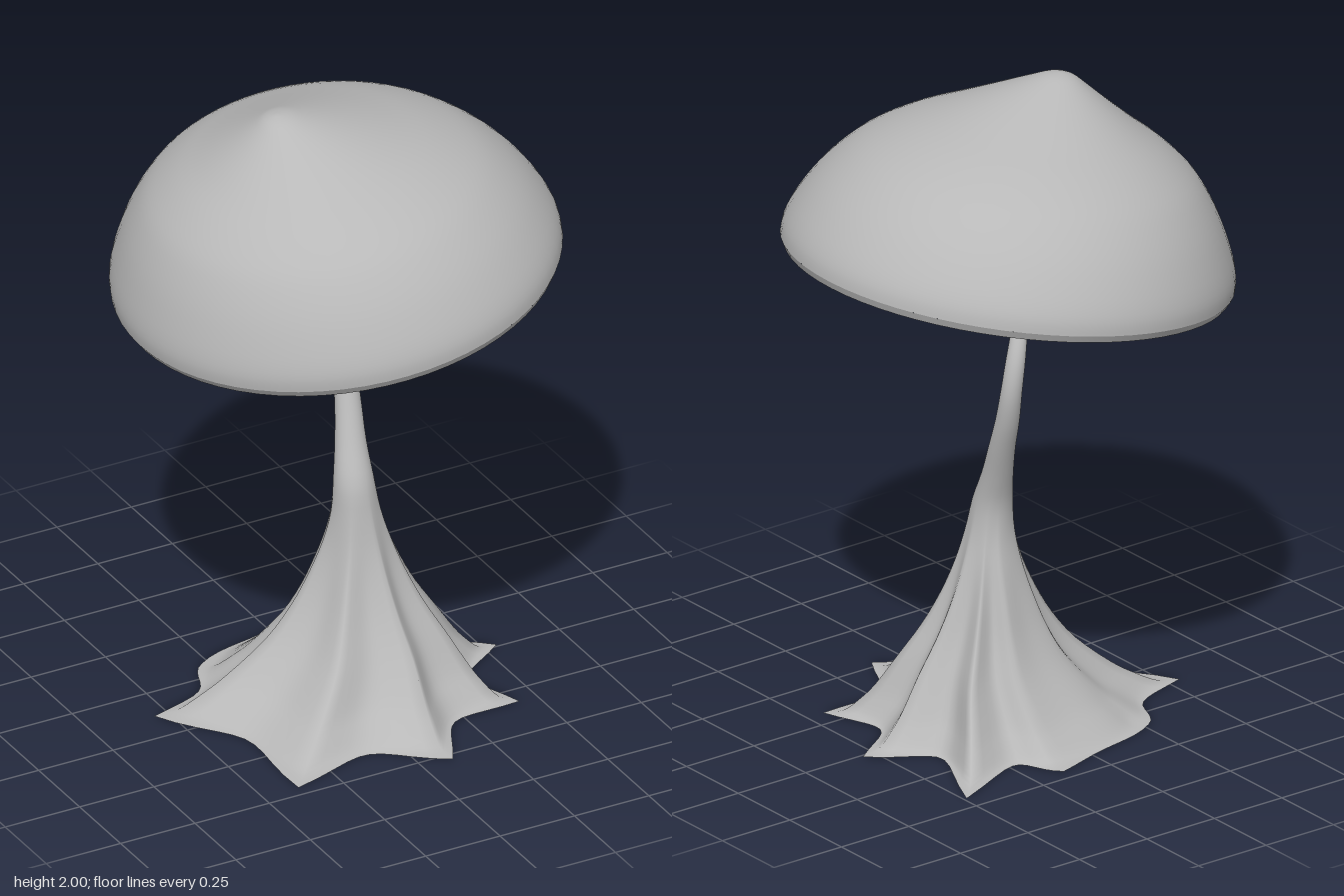
import * as THREE from 'three';
import { mergeVertices } from 'three/addons/utils/BufferGeometryUtils.js';

const grey = new THREE.MeshStandardMaterial({ color: 0xb8b8b8 });
grey.name = 'plain grey';

// Root tips around the foot: [x, z]
const TIPS = [
  [0.44, 0.32], [0.1, 0.53], [-0.38, 0.46], [-0.545, -0.12],
  [-0.27, -0.33], [0.14, -0.455], [0.49, -0.44], [0.545, -0.01],
].map(([x, z]) => [(Math.atan2(z, x) + 2 * Math.PI) % (2 * Math.PI), Math.hypot(x, z)]);

// Stalk sections: [y, centre x, centre z, radius at root ridges, radius between them]
const STALK = [
  [0, 0, 0, 0.545, 0.4], [0.01, 0.005, 0, 0.48, 0.38], [0.05, 0.02, 0, 0.42, 0.335], [0.1, 0.037, 0, 0.362, 0.285],
  [0.2, 0.06, 0.005, 0.272, 0.215], [0.3, 0.066, 0.003, 0.2, 0.16], [0.4, 0.068, 0, 0.146, 0.122],
  [0.5, 0.068, 0, 0.104, 0.094], [0.6, 0.064, 0.002, 0.075, 0.072], [0.7, 0.062, -0.007, 0.06, 0.06],
  [0.8, 0.073, -0.045, 0.047, 0.047], [0.9, 0.087, -0.085, 0.04, 0.04], [1.0, 0.096, -0.123, 0.036, 0.036],
  [1.1, 0.098, -0.145, 0.032, 0.032], [1.2, 0.08, -0.143, 0.029, 0.029], [1.3, 0.042, -0.116, 0.023, 0.023],
  [1.4, -0.006, -0.076, 0.018, 0.018], [1.52, -0.036, -0.03, 0.015, 0.015], [1.63, -0.045, 0.02, 0.018, 0.018],
  [1.68, -0.045, 0.04, 0.03, 0.03], [1.715, -0.045, 0.045, 0.055, 0.055],
];

function add(group, geometry, name) {
  const mesh = new THREE.Mesh(geometry, grey);
  mesh.name = name;
  group.add(mesh);
}

function indexed(positions, index) {
  const g = new THREE.BufferGeometry();
  g.setAttribute('position', new THREE.Float32BufferAttribute(positions, 3));
  g.setIndex(index);
  g.computeVertexNormals();
  return g;
}

// Directions round the stalk: each has an angle, a ridge weight and a tip radius
function spokes(perLobe) {
  const list = [];
  TIPS.forEach(([angle, radius], i) => {
    const [next, nextRadius] = TIPS[(i + 1) % TIPS.length];
    const span = (next - angle + 2 * Math.PI) % (2 * Math.PI);
    for (let k = 0; k < perLobe; k++) {
      const f = k / perLobe;
      list.push({
        a: angle + span * f,
        ridge: 1 - Math.sin(Math.PI * f),
        tip: THREE.MathUtils.lerp(radius, nextRadius, f),
      });
    }
  });
  return list;
}

function buildStalk(group) {
  const dirs = spokes(10), n = dirs.length, rows = (STALK.length - 1) * 3;
  const centres = new THREE.CatmullRomCurve3(STALK.map(([y, x, z]) => new THREE.Vector3(x, y, z)), false, 'catmullrom');
  const radii = new THREE.CatmullRomCurve3(STALK.map(s => new THREE.Vector3(s[3], s[4], 0)), false, 'catmullrom');
  const pos = [], index = [];
  for (let i = 0; i <= rows; i++) {
    const c = centres.getPoint(i / rows), r = radii.getPoint(i / rows);
    const spread = Math.max(0, 1 - c.y / 0.6);
    for (const d of dirs) {
      const ridge = r.x * (1 + (d.tip / 0.545 - 1) * spread);
      const radius = THREE.MathUtils.lerp(r.y, ridge, d.ridge);
      pos.push(c.x + radius * Math.cos(d.a), Math.max(0, c.y), c.z + radius * Math.sin(d.a));
    }
  }
  for (let i = 0; i < rows; i++) {
    for (let j = 0; j < n; j++) {
      const a = i * n + j, b = i * n + (j + 1) % n;
      index.push(a, a + n, b, b, a + n, b + n);
    }
  }
  add(group, indexed(pos, index), 'stalk');

  // Flat sole closing the foot
  const sole = [...pos.slice(0, n * 3), 0, 0, 0], fan = [];
  for (let j = 0; j < n; j++) fan.push(n, j, (j + 1) % n);
  add(group, indexed(sole, fan), 'sole');
}

// Turned surface; with lean, the upper part shifts sideways towards the peak
function turned(points, lean = 0) {
  const g = new THREE.LatheGeometry(points, 64);
  g.deleteAttribute('uv');
  g.deleteAttribute('normal');
  const p = g.attributes.position;
  for (let i = 0; i < p.count; i++) {
    p.setX(i, p.getX(i) - lean * Math.pow(Math.max(0, p.getY(i)) / 0.594, 2.3));
    p.setZ(i, p.getZ(i) * 1.025);
  }
  const merged = mergeVertices(g, 1e-5);
  merged.computeVertexNormals();
  return merged;
}

function buildCap(group) {
  const vec = list => list.map(([r, y]) => new THREE.Vector2(r, y));
  const cap = new THREE.Group();
  cap.name = 'cap';
  cap.position.set(0.004, 1.43, 0);
  cap.rotation.z = THREE.MathUtils.degToRad(9);

  const dome = new THREE.SplineCurve(vec([
    [0.669, 0.018], [0.666, 0.06], [0.645, 0.12], [0.6, 0.205], [0.545, 0.28], [0.485, 0.34], [0.395, 0.4],
    [0.295, 0.452], [0.175, 0.516], [0.09, 0.562], [0.042, 0.586], [0, 0.594],
  ])).getPoints(33);
  dome[dome.length - 1].x = 0;
  add(cap, turned(dome, 0.113), 'capDome');
  add(cap, turned(vec([[0.657, -0.005], [0.669, 0.018]])), 'capEdge');
  add(cap, turned(vec([[0.62, 0], [0.657, -0.005]])), 'capRim');

  // Conical hollow underside, flatter near the rim, with a flat ceiling round the stalk
  const hollow = new THREE.SplineCurve(vec([[0.15, 0.28], [0.3, 0.186], [0.45, 0.096], [0.56, 0.032], [0.62, 0]]));
  add(cap, turned(hollow.getPoints(16)), 'capUnderside');
  add(cap, turned(vec([[0, 0.28], [0.15, 0.28]])), 'capCeiling');
  group.add(cap);
}

export function createModel() {
  const group = new THREE.Group();
  group.name = 'mushroom';
  buildStalk(group);
  buildCap(group);
  return group;
}
